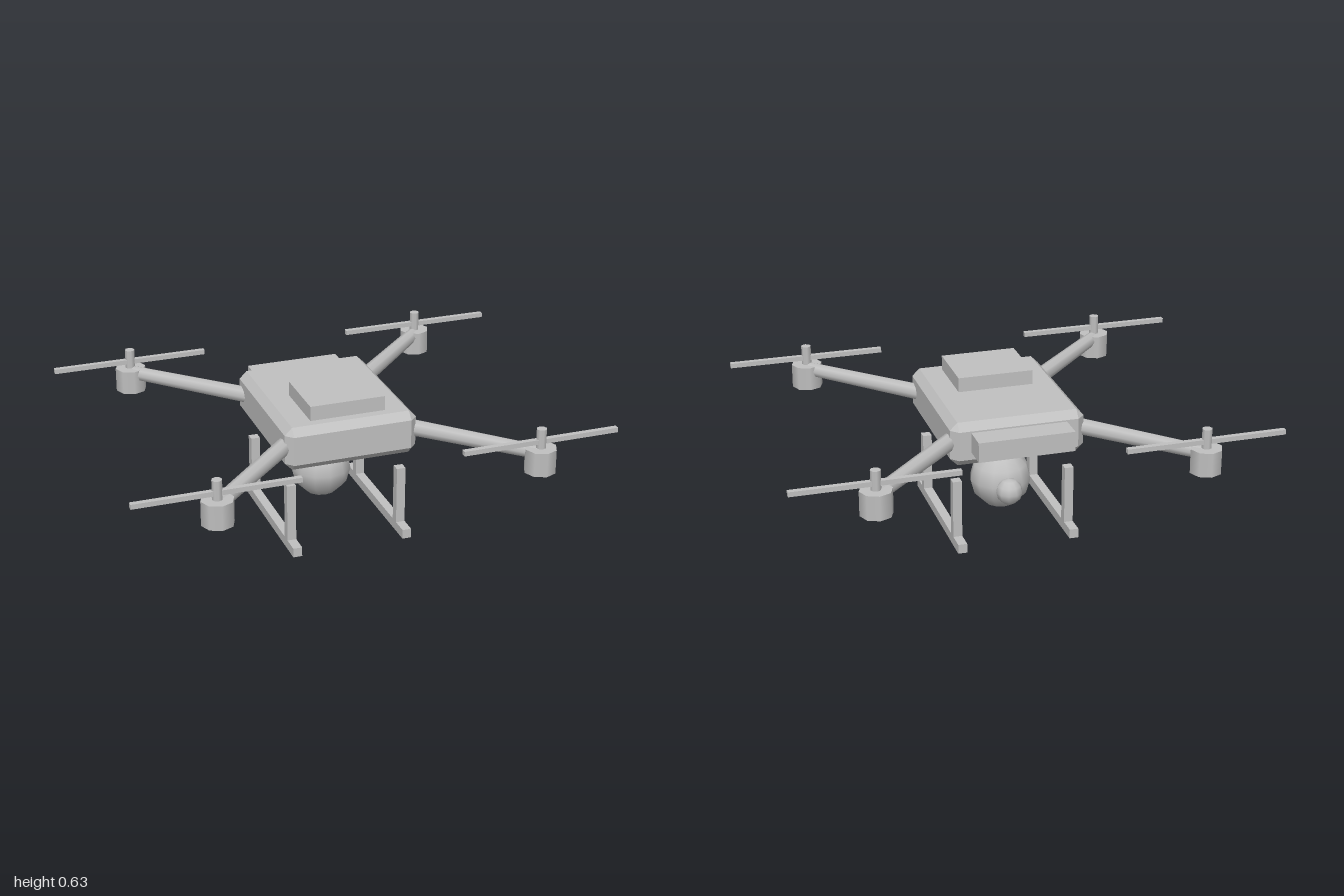
import * as THREE from 'three';
import { ConvexGeometry } from 'three/addons/geometries/ConvexGeometry.js';

const grey = new THREE.MeshStandardMaterial({ color: 0xc0c0c0 });
grey.name = 'grey';

function add(parent, name, geometry, x = 0, y = 0, z = 0) {
  const mesh = new THREE.Mesh(geometry, grey);
  mesh.name = name;
  mesh.position.set(x, y, z);
  parent.add(mesh);
  return mesh;
}

// Box with every edge and corner cut at 45 degrees
function chamferedBox(w, h, d, c) {
  const points = [];
  for (const sx of [-1, 1]) for (const sy of [-1, 1]) for (const sz of [-1, 1]) {
    for (let full = 0; full < 3; full++) {
      const half = [w / 2, h / 2, d / 2].map((v, i) => (i === full ? v : v - c));
      points.push(new THREE.Vector3(sx * half[0], sy * half[1], sz * half[2]));
    }
  }
  return new ConvexGeometry(points);
}

// Tapered tube between two points
function rod(parent, name, from, to, r0, r1) {
  const dir = to.clone().sub(from);
  const mid = from.clone().add(to).multiplyScalar(0.5);
  const mesh = add(parent, name, new THREE.CylinderGeometry(r1, r0, dir.length(), 8), mid.x, mid.y, mid.z);
  mesh.quaternion.setFromUnitVectors(new THREE.Vector3(0, 1, 0), dir.normalize());
  return mesh;
}

export function createModel() {
  const model = new THREE.Group();
  model.name = 'quadcopter';

  // Hull with a raised hatch and a rear battery
  add(model, 'body', chamferedBox(0.56, 0.185, 0.667, 0.031), 0, 0.475, 0);
  add(model, 'topHatch', new THREE.BoxGeometry(0.318, 0.08, 0.266), 0, 0.589, 0.133);
  add(model, 'rearBattery', new THREE.BoxGeometry(0.4, 0.084, 0.2), 0, 0.488, -0.339);

  // Four diagonal arms, each with a motor, shaft and propeller
  const reach = 0.666;
  for (const sx of [-1, 1]) for (const sz of [-1, 1]) {
    const rotor = new THREE.Group();
    rotor.name = (sz > 0 ? 'front' : 'rear') + (sx > 0 ? 'Left' : 'Right') + 'Rotor';
    model.add(rotor);
    const x = sx * reach, z = sz * reach;
    rod(rotor, 'arm', new THREE.Vector3(sx * 0.2, 0.477, sz * 0.2),
      new THREE.Vector3(x, 0.477, z), 0.036, 0.03);
    add(rotor, 'motor', new THREE.CylinderGeometry(0.066, 0.066, 0.102, 8), x, 0.449, z);
    add(rotor, 'shaft', new THREE.CylinderGeometry(0.021, 0.021, 0.085, 8), x, 0.539, z);
    add(rotor, 'propeller', new THREE.BoxGeometry(0.667, 0.02, 0.022), x, 0.528, z);
  }

  // Camera ball hanging under the hull, lens to the rear
  const gimbal = new THREE.Group();
  gimbal.name = 'gimbal';
  gimbal.position.set(0, 0.194, -0.065);
  model.add(gimbal);
  add(gimbal, 'mount', new THREE.CylinderGeometry(0.052, 0.052, 0.13, 10), 0, 0.156, 0);
  add(gimbal, 'cameraBall', new THREE.SphereGeometry(0.129, 12, 6));
  add(gimbal, 'lens', new THREE.SphereGeometry(0.056, 10, 6), 0, -0.01, -0.131);

  // Landing skids with two posts each
  for (const s of [-1, 1]) {
    const gear = new THREE.Group();
    gear.name = s > 0 ? 'leftGear' : 'rightGear';
    gear.position.x = s * 0.239;
    model.add(gear);
    add(gear, 'skid', new THREE.BoxGeometry(0.038, 0.04, 0.667), 0, 0.02, 0);
    for (const z of [-0.24, 0.24]) {
      add(gear, 'post', new THREE.BoxGeometry(0.038, 0.255, 0.038), 0, 0.16, z);
    }
  }

  return model;
}
